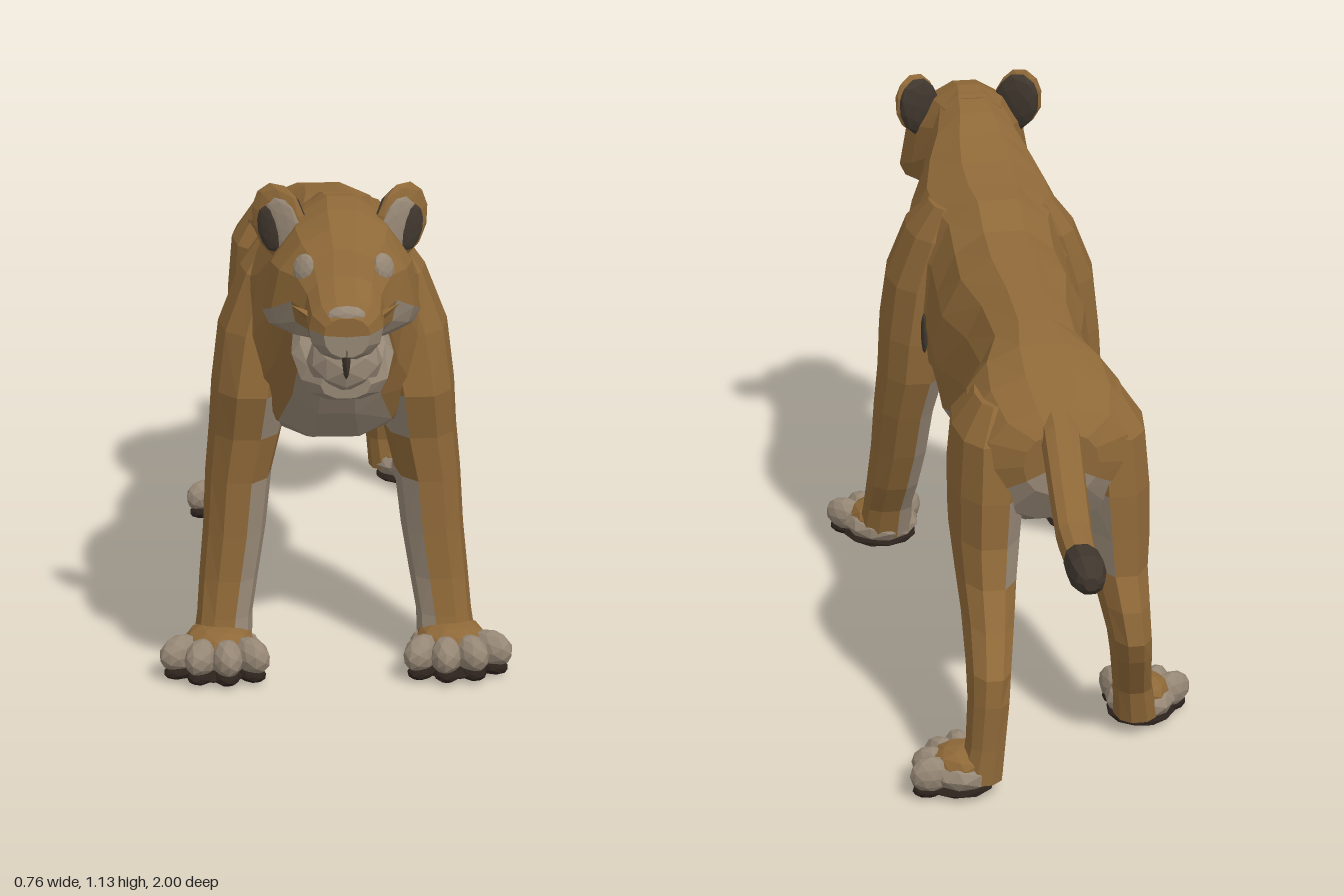
import * as THREE from 'three';

const mat = (name, color) => Object.assign(new THREE.MeshStandardMaterial({ color }), { name });
const fur = mat('tawny fur', 0x8e6838);
const pale = mat('pale fur', 0x968775);
const dark = mat('dark fur', 0x40372e);
const sole = mat('paw sole', 0x2c221c);

// Skins a list of rings; paint(ring, segment) picks the material of each strip.
function loft(name, rings, paint) {
  const tris = [];
  const n = rings[0].length;
  const centre = r => r.reduce((s, p) => s.add(p), new THREE.Vector3()).divideScalar(n);
  const last = rings.length - 1;
  for (let j = 0; j < n; j++) {
    const k = (j + 1) % n;
    tris.push([paint(0, j), centre(rings[0]), rings[0][k], rings[0][j]]);
    tris.push([paint(last - 1, j), centre(rings[last]), rings[last][j], rings[last][k]]);
    for (let i = 0; i < last; i++) {
      const [a, b, c, d] = [rings[i][j], rings[i][k], rings[i + 1][k], rings[i + 1][j]];
      tris.push([paint(i, j), a, b, c], [paint(i, j), a, c, d]);
    }
  }
  // a negative enclosed volume means the corners run the wrong way round
  const volume = tris.reduce((s, [, a, b, c]) => s + a.dot(b.clone().cross(c)), 0);
  const group = new THREE.Group();
  group.name = name;
  for (const m of new Set(tris.map(t => t[0]))) {
    const points = tris.filter(t => t[0] === m)
      .flatMap(([, a, b, c]) => volume > 0 ? [a, b, c] : [a, c, b]);
    const g = new THREE.BufferGeometry().setFromPoints(points);
    g.computeVertexNormals();
    const mesh = new THREE.Mesh(g, m);
    mesh.name = `${name} ${m.name}`;
    group.add(mesh);
  }
  return group;
}

const soft = (v, p) => Math.sign(v) * Math.abs(v) ** p;

// Upright ring from [z, top, bottom, half width, height of widest point, taper of upper half]
function bodyRing([z, top, bottom, w, mid = (top + bottom) / 2, taper = 0.85], n = 14) {
  return Array.from({ length: n }, (_, j) => {
    const t = (j + 0.5) / n * Math.PI * 2;
    const c = soft(Math.cos(t), 0.9);
    const x = w * soft(Math.sin(t), c > 0 ? taper : 0.85);
    return new THREE.Vector3(x, mid + c * (c > 0 ? top - mid : mid - bottom), z);
  });
}

// Level ring from [y, centre x, centre z, x radius, z radius]
function legRing([y, cx, cz, rx, rz], side, n = 10) {
  return Array.from({ length: n }, (_, j) => {
    const t = j / n * Math.PI * 2;
    return new THREE.Vector3(side * (cx + rx * soft(Math.cos(t), 0.85)), y, cz + rz * soft(Math.sin(t), 0.85));
  });
}

// Segments 3 and 4 face inward and forward, 5 and 6 inward and back;
// paleSpan(y) gives the first and last pale one at a height.
function leg(name, side, rows, paleSpan) {
  return loft(name, rows.map(r => legRing(r, side)), (i, j) => {
    const [from, to] = paleSpan(rows[i][0]);
    return j >= from && j <= to ? pale : fur;
  });
}
const none = [1, 0], front = [3, 4], back = [5, 6], inner = [3, 6];

function blob(name, material, x, y, z, sx, sy, sz) {
  const g = new THREE.IcosahedronGeometry(1, 1).scale(sx, sy, sz);
  g.computeVertexNormals();
  const mesh = new THREE.Mesh(g, material);
  mesh.name = name;
  mesh.position.set(x, y, z);
  return mesh;
}

// Paw with four toes fanned out around its front, and a dark sole
function paw(name, x, z, yaw, size) {
  const g = new THREE.Group();
  g.name = name;
  g.add(blob('paw back', pale, 0, 0.052, -0.02, 0.092, 0.042, 0.094));
  g.add(blob('instep', fur, 0, 0.074, -0.02, 0.075, 0.034, 0.08));
  g.add(blob('paw sole', sole, 0, 0.018, -0.005, 0.09, 0.016, 0.098));
  for (let i = 0; i < 4; i++) {
    const a = (i - 1.5) * 0.48;
    const toe = blob('toe', pale, Math.sin(a) * 0.115, 0.056, -0.045 + Math.cos(a) * 0.1, 0.034, 0.041, 0.055);
    toe.rotation.y = a;
    const pad = blob('toe pad', sole, Math.sin(a) * 0.115, 0.019, -0.045 + Math.cos(a) * 0.11, 0.029, 0.017, 0.042);
    pad.rotation.y = a;
    g.add(toe, pad);
  }
  g.position.set(x, 0, z);
  g.rotation.y = yaw;
  g.scale.set(size, 1, size);
  return g;
}

function ear(side) {
  const g = new THREE.Group();
  g.name = side > 0 ? 'leftEar' : 'rightEar';
  g.add(blob('ear back', dark, 0, -0.005, -0.012, 0.057, 0.074, 0.022));
  g.add(blob('ear rim', fur, 0, 0, 0, 0.06, 0.078, 0.018));
  g.add(blob('ear inside', pale, -side * 0.01, -0.01, 0.013, 0.042, 0.058, 0.009));
  g.add(blob('ear hollow', dark, side * 0.014, -0.012, 0.016, 0.028, 0.048, 0.008));
  g.position.set(side * 0.125, 1.055, 0.715);
  g.rotation.set(-0.05, side * 0.5, -side * 0.25);
  return g;
}

export function createModel() {
  const model = new THREE.Group();
  model.name = 'big cat';

  // torso and neck, with pale belly and a narrower pale throat
  const torso = [
    [-0.64, 0.76, 0.62, 0.08, 0.69], [-0.6, 0.8, 0.55, 0.16, 0.67], [-0.5, 0.838, 0.5, 0.19, 0.68],
    [-0.4, 0.867, 0.5, 0.18, 0.69], [-0.3, 0.885, 0.51, 0.13, 0.7], [-0.15, 0.905, 0.49, 0.14, 0.68],
    [0, 0.92, 0.45, 0.178, 0.66], [0.13, 0.935, 0.44, 0.17, 0.66], [0.22, 0.98, 0.455, 0.172, 0.68],
    [0.3, 0.99, 0.46, 0.205, 0.7], [0.4, 1.01, 0.49, 0.212, 0.7], [0.5, 1.045, 0.52, 0.18, 0.74],
    [0.56, 1.08, 0.59, 0.14, 0.82], [0.64, 1.1, 0.72, 0.115, 0.9], [0.72, 1.1, 0.785, 0.105, 0.93]];
  model.add(loft('torso', torso.map(r => bodyRing(r)),
    (i, j) => Math.abs(j - 6) <= (i >= 10 ? 1 : 2) ? pale : fur));

  // head with a narrow crown, pale cheeks and a pale muzzle tip
  const head = [
    [0.62, 1.095, 0.85, 0.1, 0.95], [0.7, 1.105, 0.825, 0.14, 0.91, 1.1], [0.77, 1.095, 0.825, 0.16, 0.885, 1.15],
    [0.83, 1.07, 0.835, 0.143, 0.905, 1.15], [0.872, 1.035, 0.84, 0.105, 0.93, 1.1], [0.905, 0.99, 0.84, 0.08, 0.92],
    [0.965, 0.96, 0.835, 0.073, 0.9], [1, 0.93, 0.85, 0.045, 0.895]];
  const paleReach = [-1, 2, 3, 3, 2, 2, 3];
  model.add(loft('head', head.map(r => bodyRing(r)), (i, j) => Math.abs(j - 6) <= paleReach[i] ? pale : fur));

  // lower jaw, chin, mouth slit and nose
  const jaw = [[0.7, 0.86, 0.795, 0.095], [0.82, 0.84, 0.775, 0.103], [0.9, 0.82, 0.732, 0.086], [0.955, 0.81, 0.752, 0.05]];
  model.add(loft('jaw', jaw.map(r => bodyRing(r, 10)), () => pale));
  model.add(blob('chin', pale, 0, 0.815, 0.9, 0.076, 0.07, 0.076));
  model.add(blob('mouth slit', dark, 0, 0.858, 0.975, 0.009, 0.06, 0.026));
  model.add(blob('nose', pale, 0, 0.928, 0.98, 0.042, 0.022, 0.02));

  for (const s of [1, -1]) {
    const sideName = s > 0 ? 'left' : 'right';
    model.add(ear(s));
    const eye = blob('eye', pale, s * 0.08, 0.998, 0.868, 0.025, 0.028, 0.01);
    eye.lookAt(s * 0.6, 1.3, 1.5);
    model.add(eye);

    // whisker tuft
    const tuft = new THREE.Mesh(new THREE.ConeGeometry(0.012, 0.05, 4).toNonIndexed(), fur);
    tuft.geometry.computeVertexNormals();
    tuft.name = 'whisker tuft';
    tuft.position.set(s * 0.085, 0.925, 0.93);
    tuft.rotation.z = -s;
    model.add(tuft);

    // shoulder and front leg, with a dark fold behind the shoulder
    model.add(leg(`${sideName}FrontLeg`, s, [
      [0.94, 0.105, 0.34, 0.04, 0.08], [0.87, 0.125, 0.36, 0.073, 0.13], [0.75, 0.156, 0.37, 0.09, 0.145],
      [0.62, 0.177, 0.38, 0.085, 0.155], [0.52, 0.188, 0.372, 0.08, 0.138], [0.42, 0.205, 0.385, 0.072, 0.118],
      [0.3, 0.215, 0.408, 0.068, 0.098], [0.2, 0.228, 0.432, 0.064, 0.08], [0.12, 0.238, 0.463, 0.06, 0.062],
      [0.04, 0.245, 0.485, 0.065, 0.06]], y => y < 0.5 ? inner : y === 0.52 ? back : y === 0.62 ? front : none));
    model.add(blob('shoulder fold', dark, s * 0.174, 0.655, 0.222, 0.008, 0.05, 0.016));
    model.add(paw(`${sideName}FrontPaw`, s * 0.254, 0.53, s * 0.15, 1));
  }

  // hind legs: shared thigh, left one stretched back, right one stepping forward
  const thigh = [[0.79, 0.112, -0.465, 0.045, 0.09], [0.72, 0.13, -0.46, 0.075, 0.15],
    [0.6, 0.135, -0.46, 0.08, 0.172], [0.5, 0.14, -0.468, 0.075, 0.17]];
  model.add(leg('leftHindLeg', 1, [...thigh,
    [0.42, 0.145, -0.52, 0.065, 0.148], [0.35, 0.152, -0.595, 0.055, 0.135], [0.28, 0.165, -0.7, 0.047, 0.105],
    [0.22, 0.17, -0.745, 0.045, 0.066], [0.12, 0.178, -0.756, 0.043, 0.054], [0.04, 0.19, -0.756, 0.048, 0.058]],
  y => y > 0.7 || y < 0.3 ? none : y > 0.45 ? inner : front));
  model.add(paw('leftHindPaw', 0.24, -0.735, 0.95, 0.83));
  model.add(leg('rightHindLeg', -1, [...thigh,
    [0.42, 0.142, -0.5, 0.065, 0.145], [0.35, 0.148, -0.555, 0.055, 0.125], [0.28, 0.155, -0.6, 0.047, 0.095],
    [0.23, 0.16, -0.6, 0.045, 0.075], [0.12, 0.175, -0.55, 0.043, 0.058], [0.04, 0.185, -0.535, 0.048, 0.058]],
  y => y > 0.7 ? none : y > 0.45 ? inner : front));
  model.add(paw('rightHindPaw', -0.21, -0.478, -0.35, 0.85));

  // tail with a rounded dark tip
  const tail = [
    [-0.55, 0.815, 0.72, 0.045], [-0.64, 0.785, 0.69, 0.042], [-0.72, 0.705, 0.62, 0.04], [-0.8, 0.635, 0.56, 0.038],
    [-0.87, 0.617, 0.55, 0.034], [-0.89, 0.625, 0.546, 0.038], [-0.95, 0.63, 0.55, 0.039],
    [-0.985, 0.618, 0.558, 0.03], [-1, 0.602, 0.573, 0.015]];
  model.add(loft('tail', tail.map(r => bodyRing(r, 10)), i => i >= 4 ? dark : fur));

  return model;
}
